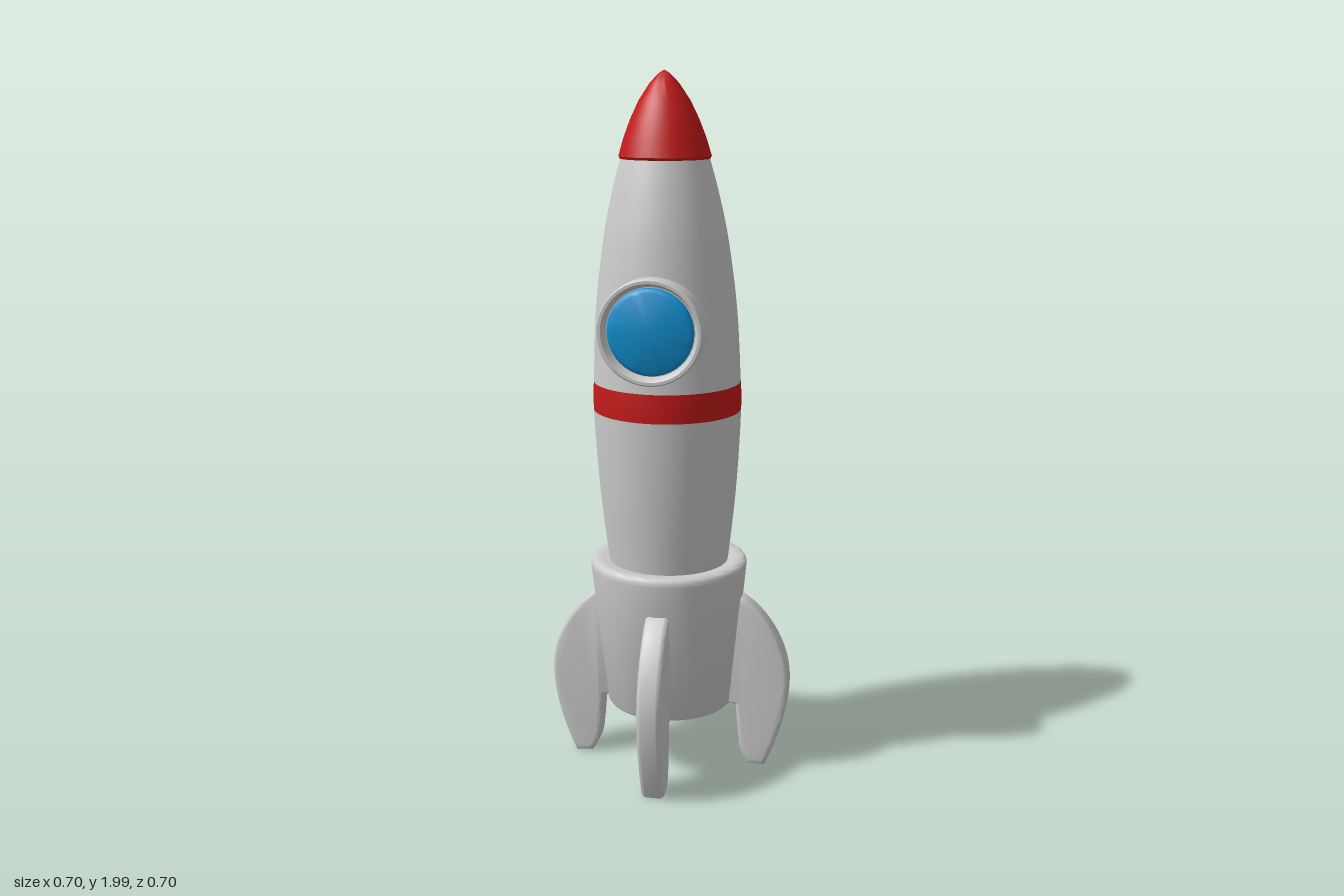
import * as THREE from 'three';
import { toCreasedNormals } from 'three/addons/utils/BufferGeometryUtils.js';

const V = (x, y) => new THREE.Vector2(x, y);
const mat = (color) => new THREE.MeshStandardMaterial({ color });
const grey = mat(0xcccccc), red = mat(0xc41a1a), blue = mat(0x1090d0);

function add(parent, name, geometry, material) {
  const mesh = new THREE.Mesh(geometry, material);
  mesh.name = name;
  parent.add(mesh);
  return mesh;
}

// Turned part with crisp edges where the profile bends sharply
const turned = (points, segments = 40) =>
  toCreasedNormals(new THREE.LatheGeometry(points, segments), 0.6);

// Slight sideways lean of the hull
function lean(geometry) {
  const p = geometry.attributes.position;
  for (let i = 0; i < p.count; i++) p.setX(i, p.getX(i) - 0.009 * p.getY(i));
  return geometry;
}

// Hull outline, from inside the base collar up to the nose
const hull = new THREE.SplineCurve([
  V(0.14, 0.4), V(0.171, 0.63), V(0.195, 0.85), V(0.208, 1.07), V(0.206, 1.17),
  V(0.196, 1.36), V(0.172, 1.55), V(0.145, 1.68), V(0.118, 1.78),
]).getPoints(96);

// Points of the hull between two heights, with exact ends
function hullBetween(y0, y1) {
  const at = (y) => {
    const i = Math.max(1, hull.findIndex((p) => p.y >= y));
    const a = hull[i - 1], b = hull[i];
    return a.clone().lerp(b, (y - a.y) / (b.y - a.y));
  };
  return [at(y0), ...hull.filter((p) => p.y > y0 + 0.004 && p.y < y1 - 0.004), at(y1)];
}

export function createModel() {
  const rocket = new THREE.Group();
  rocket.name = 'rocket';

  // Hull and its painted band
  add(rocket, 'lowerHull', lean(turned(hullBetween(0.4, 1.073))), grey);
  add(rocket, 'hullBand', lean(turned(hullBetween(1.073, 1.153))), red);
  add(rocket, 'upperHull', lean(turned(hullBetween(1.153, 1.78))), grey);

  // Nose cone
  add(rocket, 'noseCone', lean(turned([
    V(0, 1.766), V(0.123, 1.766), V(0.127, 1.773), V(0.113, 1.82), V(0.094, 1.87),
    V(0.07, 1.92), V(0.04, 1.965), V(0.016, 1.99), V(0, 2),
  ])), red);

  // Flared collar at the base
  add(rocket, 'baseCollar', lean(turned([
    V(0, 0.198), V(0.179, 0.198), V(0.183, 0.204), V(0.225, 0.612), V(0.225, 0.624),
    V(0.22, 0.632), V(0.212, 0.636), V(0.192, 0.634), V(0.165, 0.63),
  ])), grey);

  // Porthole on the front
  const porthole = new THREE.Group();
  porthole.name = 'porthole';
  porthole.position.set(-0.016, 1.324, 0);
  rocket.add(porthole);
  add(porthole, 'portholeRing', turned([
    V(0.1435, 0.1), V(0.1435, 0.231), V(0.14, 0.235), V(0.132, 0.235),
    V(0.126, 0.229), V(0.121, 0.21), V(0.1, 0.21),
  ]).rotateX(Math.PI / 2), grey);
  add(porthole, 'portholeGlass', turned([
    V(0.119, 0.2), V(0.118, 0.216), V(0.114, 0.223), V(0.106, 0.227), V(0, 0.228),
  ]).rotateX(Math.PI / 2), blue);

  // Four curved fins
  const bevel = 0.014;
  const s = new THREE.Shape();
  s.moveTo(0.15, 0.515);
  s.lineTo(0.205, 0.513);
  s.bezierCurveTo(0.27, 0.475, 0.335, 0.38, 0.337, 0.28);
  s.bezierCurveTo(0.339, 0.19, 0.305, 0.09, 0.275, 0.024);
  s.lineTo(0.242, 0.026);
  s.quadraticCurveTo(0.226, 0.05, 0.222, 0.075);
  s.quadraticCurveTo(0.214, 0.15, 0.21, 0.21);
  s.lineTo(0.15, 0.21);
  s.closePath();
  const finGeometry = toCreasedNormals(new THREE.ExtrudeGeometry(s, {
    depth: 0.04, bevelEnabled: true, bevelSize: bevel, bevelThickness: bevel,
    bevelSegments: 4, curveSegments: 12,
  }).translate(0, 0, -0.02), 0.7);
  ['leftFin', 'backFin', 'rightFin', 'frontFin'].forEach((name, i) => {
    add(rocket, name, finGeometry, grey).rotation.y = i * Math.PI / 2;
  });

  return rocket;
}
